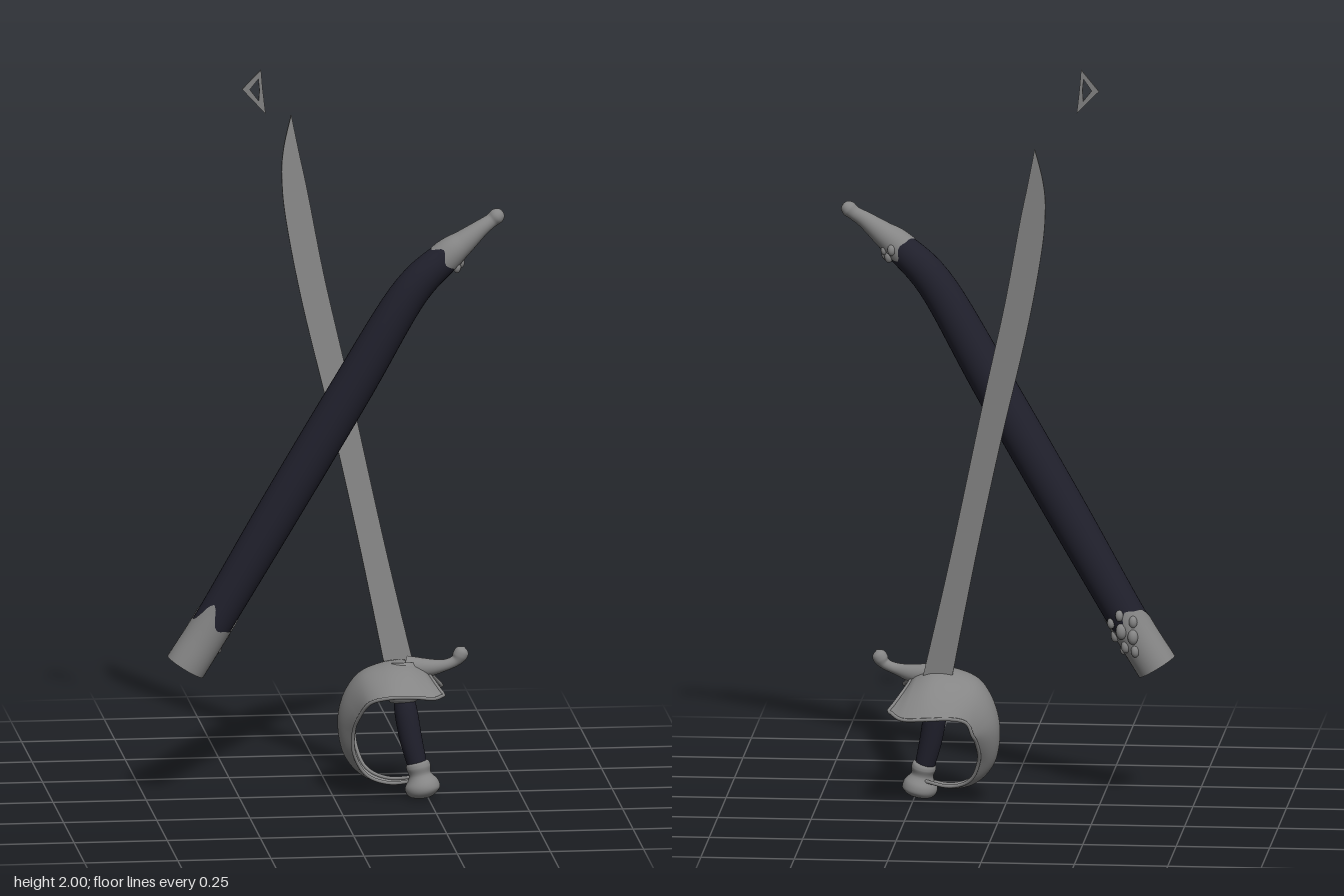
import * as THREE from 'three';
import { ParametricGeometry } from 'three/addons/geometries/ParametricGeometry.js';

const V = (x, y, z = 0) => new THREE.Vector3(x, y, z);
const spline = (pts) => new THREE.CatmullRomCurve3(pts, false, 'catmullrom', 0.5);

// Round section swept through stations [x, y, z, radius]; returns surface(t, angle, extra radius)
function sweep(stations) {
  const path = spline(stations.map(([x, y, z]) => V(x, y, z)));
  const radii = spline(stations.map((s) => V(s[3], 0)));
  return (t, angle, extra = 0) => {
    const tangent = path.getTangent(t);
    const side = tangent.clone().cross(V(0, 0, 1)).normalize();
    const back = tangent.clone().cross(side);
    const r = Math.max(radii.getPoint(t).x + extra, 0.0005);
    return path.getPoint(t)
      .addScaledVector(side, Math.cos(angle) * r)
      .addScaledVector(back, Math.sin(angle) * r);
  };
}

// Skin of a sweep between two ends, each of which may vary with the angle
function skin(surface, from = () => 0, to = () => 1, extra = 0, rows = 32) {
  return new ParametricGeometry((u, v, out) => {
    const a = u * Math.PI * 2;
    out.copy(surface(THREE.MathUtils.lerp(from(a), to(a), v), a, extra));
  }, 32, rows);
}

export function createModel() {
  const metal = new THREE.MeshStandardMaterial({ color: 0x858585, side: THREE.DoubleSide });
  metal.name = 'steel';
  const leather = new THREE.MeshStandardMaterial({ color: 0x20202c });
  leather.name = 'darkLeather';

  const model = new THREE.Group();
  const sabre = new THREE.Group();
  sabre.name = 'sabre';
  const scabbard = new THREE.Group();
  scabbard.name = 'scabbard';
  model.add(sabre, scabbard);
  const add = (parent, name, geometry, material) => {
    const mesh = new THREE.Mesh(geometry, material);
    mesh.name = name;
    parent.add(mesh);
    return mesh;
  };

  // Thin plate in x, y whose z follows a slope
  const plate = (shape, depth, slope) => {
    const g = new THREE.ExtrudeGeometry(shape, { depth, bevelEnabled: false, curveSegments: 30 });
    const p = g.attributes.position;
    for (let i = 0; i < p.count; i++) p.setZ(i, p.getZ(i) - depth / 2 + slope(p.getX(i), p.getY(i)));
    g.computeVertexNormals();
    return g;
  };

  // Blade: curved outline leaning backwards towards the tip
  const v2 = (list) => list.map(([x, y]) => new THREE.Vector2(x, y));
  const blade = new THREE.Shape();
  blade.moveTo(0.224, 0.335);
  blade.splineThru(v2([[0.145, 0.68], [0.05, 1.13], [-0.008, 1.394], [-0.05, 1.62], [-0.071, 1.722], [-0.092, 1.828]]));
  blade.splineThru(v2([[-0.113, 1.74], [-0.119, 1.66], [-0.108, 1.54], [-0.066, 1.315], [0.008, 1.0], [0.077, 0.68], [0.145, 0.335]]));
  add(sabre, 'blade', plate(blade, 0.009, (x, y) => -0.033 - 0.095 * (y - 0.36)), metal);

  // Guard: shell that narrows into the knuckle bow
  // rows: x, y, back z, front z, edge shift x, edge shift y
  const rows = [
    [0.255, 0.335, -0.11, 0.12, 0.04, -0.05],
    [0.235, 0.352, -0.15, 0.155, 0.025, -0.075],
    [0.19, 0.368, -0.163, 0.172, 0.01, -0.085],
    [0.13, 0.362, -0.15, 0.165, 0.005, -0.08],
    [0.07, 0.335, -0.13, 0.135, 0.02, -0.07],
    [0.03, 0.275, -0.12, 0.1, 0.04, -0.05],
    [0.015, 0.2, -0.1, 0.07, 0.045, -0.01],
    [0.03, 0.115, -0.06, 0.05, 0.03, 0.015],
    [0.08, 0.057, -0.03, 0.038, 0.01, 0.012],
    [0.15, 0.037, -0.005, 0.04, 0, 0.008],
    [0.225, 0.05, 0.025, 0.055, 0, 0.004],
  ];
  const ridge = spline(rows.map((r) => V(r[0], r[1])));
  const spans = spline(rows.map((r) => V(r[2], r[3])));
  const shifts = spline(rows.map((r) => V(r[4], r[5])));
  const guardAt = (u, v) => {
    const s = spans.getPoint(v);
    const w = 2 * u - 1;
    return ridge.getPoint(v)
      .addScaledVector(shifts.getPoint(v), w * w * (1 - 0.25 * w))
      .setZ(THREE.MathUtils.lerp(s.x, s.y, u));
  };
  add(sabre, 'guardShell', new ParametricGeometry((u, v, out) => out.copy(guardAt(u, v)), 28, 60), metal);

  // Rolled rim along the free edges of the guard
  const rim = [];
  for (let i = 40; i >= 0; i--) rim.push(guardAt(0, i / 40));
  for (let i = 1; i < 20; i++) rim.push(guardAt(i / 20, 0));
  for (let i = 0; i <= 40; i++) rim.push(guardAt(1, i / 40));
  add(sabre, 'guardRim', new THREE.TubeGeometry(new THREE.CatmullRomCurve3(rim), 200, 0.005, 8), metal);

  // Quillon with a rounded end turned upwards
  add(sabre, 'quillon', skin(sweep([
    [0.2, 0.35, 0.0, 0.03], [0.25, 0.35, 0.015, 0.025], [0.295, 0.358, 0.028, 0.016],
    [0.325, 0.37, 0.03, 0.015], [0.338, 0.385, 0.03, 0.02], [0.345, 0.4, 0.03, 0.017], [0.349, 0.409, 0.03, 0.001],
  ])), metal);

  // Hilt: collar, grip and pommel on one leaning axis
  add(sabre, 'collar', skin(sweep([
    [0.185, 0.36, 0.0, 0.04], [0.185, 0.33, 0.008, 0.055], [0.186, 0.3, 0.017, 0.06],
    [0.187, 0.282, 0.024, 0.046], [0.189, 0.262, 0.03, 0.034], [0.189, 0.259, 0.03, 0.001],
  ])), metal);
  add(sabre, 'grip', skin(sweep([
    [0.187, 0.275, 0.03, 0.027], [0.194, 0.23, 0.034, 0.031], [0.206, 0.16, 0.04, 0.03], [0.224, 0.085, 0.045, 0.026],
  ])), leather);
  add(sabre, 'pommel', skin(sweep([
    [0.221, 0.104, 0.044, 0.001], [0.222, 0.1, 0.044, 0.027], [0.225, 0.087, 0.046, 0.033], [0.229, 0.066, 0.048, 0.03],
    [0.234, 0.043, 0.05, 0.045], [0.237, 0.024, 0.052, 0.046], [0.24, 0.01, 0.053, 0.03], [0.241, 0.004, 0.053, 0.001],
  ])), metal);

  // Scabbard: one sweep divided into locket, sheath and chape
  const body = sweep([
    [-0.4, 0.375, 0.042, 0.053], [-0.32, 0.505, 0.045, 0.052], [-0.15, 0.8, 0.06, 0.056],
    [0.042, 1.13, 0.078, 0.056], [0.19, 1.385, 0.095, 0.05], [0.29, 1.49, 0.103, 0.042],
    [0.34, 1.53, 0.103, 0.031], [0.385, 1.565, 0.1, 0.021], [0.415, 1.585, 0.095, 0.017],
    [0.43, 1.597, 0.095, 0.019], [0.442, 1.606, 0.094, 0.012], [0.446, 1.609, 0.094, 0.001],
  ]);
  const at = (station) => station / 11;
  const wave = (a) => 0.1 * Math.cos(3 * a) + 0.05 * Math.sin(5 * a);
  add(scabbard, 'sheath', skin(body, () => at(0.5), () => at(5.3)), leather);
  add(scabbard, 'locket', skin(body, () => 0, (a) => at(1 + wave(a)), 0.003), metal);
  add(scabbard, 'chape', skin(body, (a) => at(5 + wave(a)), () => 1, 0.002, 40), metal);
  const mouth = add(scabbard, 'mouth', new THREE.CircleGeometry(0.055, 32), metal);
  mouth.position.set(-0.397, 0.38, 0.042);
  mouth.quaternion.setFromUnitVectors(V(0, 0, 1), V(-0.52, -0.854, 0.01).normalize());

  // Raised scrollwork on both fittings: station, angle, size
  const scroll = [
    [0.55, 1.2, 0.013], [0.7, 0.8, 0.014], [0.78, 1.5, 0.016], [0.9, 0.4, 0.014], [0.92, 1.1, 0.017],
    [0.95, 1.9, 0.013], [1.05, 0.75, 0.012], [1.08, 1.45, 0.012], [0.65, 0.15, 0.01],
    [5.05, -0.3, 0.012], [5.1, 0.5, 0.013], [5.25, 0.1, 0.013], [5.2, 1.2, 0.012], [5.45, 0.6, 0.01],
  ];
  for (const [station, angle, size] of scroll) {
    const bump = add(scabbard, 'scrollwork', new THREE.SphereGeometry(size, 14, 10), metal);
    bump.position.copy(body(at(station), angle));
    bump.scale.set(0.9, 1.3, 0.9);
  }

  // Loose three-cornered link
  const link = new THREE.Shape(v2([[-0.246, 1.945], [-0.197, 2.0], [-0.193, 1.95], [-0.185, 1.88]]));
  link.holes.push(new THREE.Path(v2([[-0.226, 1.945], [-0.203, 1.915], [-0.201, 1.945], [-0.204, 1.975]])));
  add(model, 'link', plate(link, 0.007, (x) => 0.026 + 0.3 * (x + 0.245)), metal);

  return model;
}
